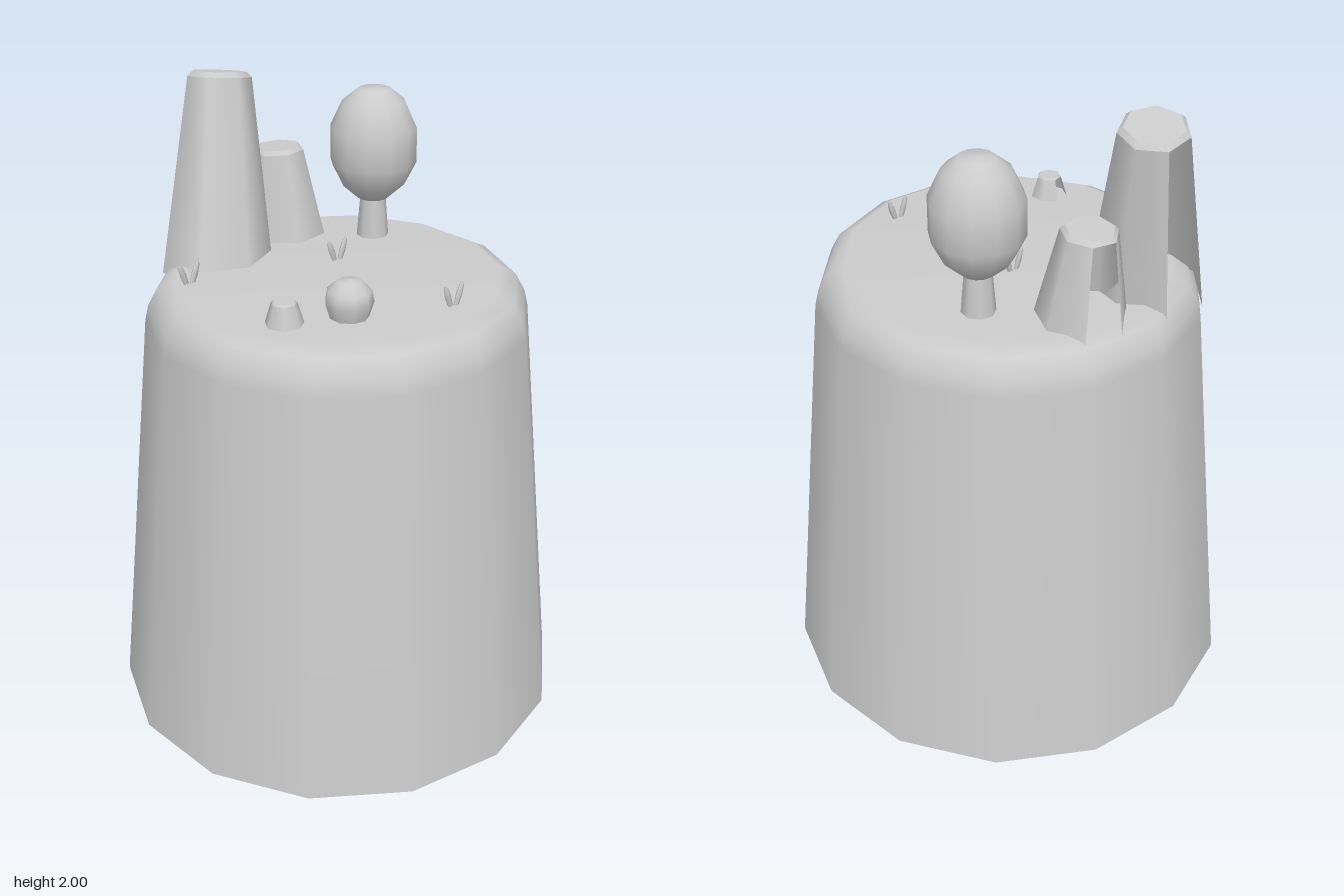
import * as THREE from 'three';

const material = new THREE.MeshStandardMaterial({ color: 0xcccccc, side: THREE.DoubleSide });
const TOP = 1.44;

function add(parent, name, geometry, x = 0, y = 0, z = 0) {
  const mesh = new THREE.Mesh(geometry, material);
  mesh.name = name;
  mesh.position.set(x, y, z);
  parent.add(mesh);
  return mesh;
}

// Turned shape from [radius, height] pairs, listed bottom to top
function turned(profile, sides, start = 0, sweep = Math.PI * 2) {
  const points = profile.map(([r, y]) => new THREE.Vector2(r, y));
  return new THREE.LatheGeometry(points, sides, start, sweep);
}

// Hollow seven-sided spire with one wall panel missing below a closed cap
function spire(name, rBottom, rTop, height, start) {
  const group = new THREE.Group();
  group.name = name;
  const bevel = rTop * 0.15;
  const neck = height - bevel;
  add(group, name + 'Wall', turned([[rBottom, 0], [rTop, neck]], 6, start, Math.PI * 12 / 7));
  add(group, name + 'Bevel', turned([[rTop, neck], [rTop * 0.85, height]], 7, start));
  add(group, name + 'Cap', turned([[rTop * 0.85, height], [0, height]], 7, start));
  return group;
}

export function createModel() {
  const model = new THREE.Group();
  model.name = 'islandPillar';
  const deg = THREE.MathUtils.degToRad;

  // Tapered base, open underneath, with a rounded top edge
  add(model, 'base', turned(
    [[0.725, 0], [0.592, 1.31], [0.58, 1.36], [0.55, 1.415], [0.5, TOP], [0, TOP]],
    14, deg(-6.4)));

  // Leaning tall spire, upright middle spire and tiny spire
  const tall = spire('tallSpire', 0.18, 0.102, 0.615, deg(195));
  tall.position.set(-0.115, 1.38, -0.405);
  tall.quaternion.setFromUnitVectors(
    new THREE.Vector3(0, 1, 0), new THREE.Vector3(0.19, 1, -0.115).normalize());

  const middle = spire('middleSpire', 0.138, 0.084, 0.3, deg(180));
  middle.position.set(0.17, 1.42, -0.37);
  middle.rotation.x = deg(-4);

  const tiny = spire('tinySpire', 0.06, 0.038, 0.078, deg(206));
  tiny.position.set(-0.38, TOP - 0.008, 0.115);
  model.add(tall, middle, tiny);

  // Tree
  add(model, 'treeTrunk', turned([[0.052, 0], [0.038, 0.17]], 8), 0.325, TOP - 0.01, -0.125);
  add(model, 'treeCrown', turned(
    [[0, 0], [0.05, 0.005], [0.1, 0.05], [0.137, 0.125], [0.137, 0.235],
      [0.1, 0.315], [0.052, 0.355], [0, 0.358]], 12), 0.325, 1.563, -0.125);

  // Round bush
  add(model, 'bush', turned(
    [[0.058, -0.045], [0.072, 0], [0.066, 0.035], [0.036, 0.063], [0, 0.068]], 9),
  -0.223, 1.485, 0.223);

  // Grass tufts, two leaning blades each
  for (const [x, z] of [[-0.345, -0.295], [0.082, -0.073], [0.025, 0.41]]) {
    const tuft = new THREE.Group();
    tuft.name = 'grassTuft';
    tuft.position.set(x, TOP, z);
    tuft.rotation.y = deg(-8);
    for (const side of [-1, 1]) {
      const blade = add(tuft, 'grassBlade', turned(
        [[0.008, -0.01], [0.012, 0.03], [0.009, 0.06], [0, 0.074]], 5), side * 0.01, 0, side * 0.002);
      blade.scale.z = 0.6;
      blade.rotation.z = side * deg(-20);
    }
    model.add(tuft);
  }
  return model;
}
